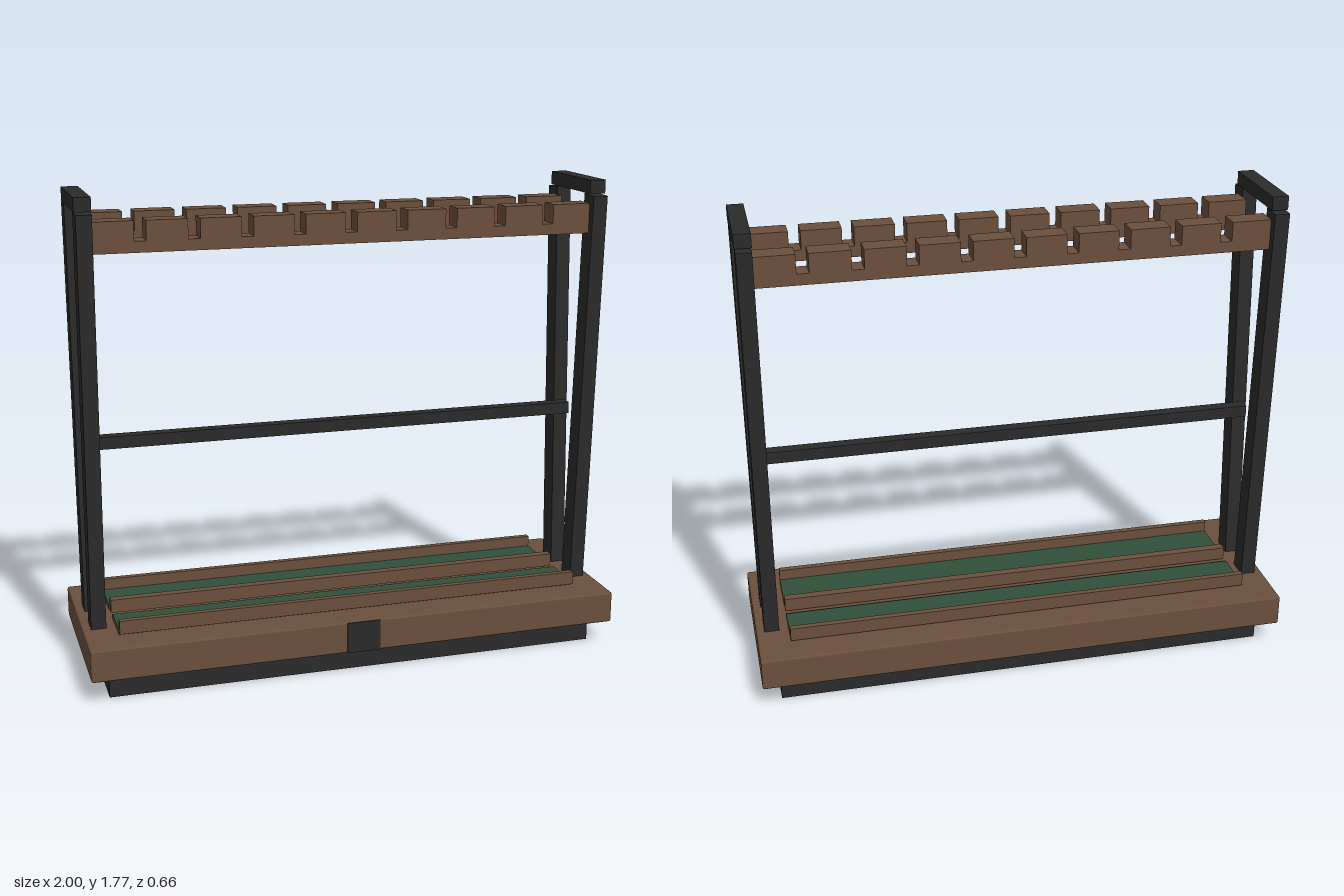
import * as THREE from 'three';
import { RoundedBoxGeometry } from 'three/addons/geometries/RoundedBoxGeometry.js';

export function createModel() {
  const wood = new THREE.MeshStandardMaterial({ name: 'brownWood', color: 0x6b4f3c });
  const metal = new THREE.MeshStandardMaterial({ name: 'darkMetal', color: 0x2b2b2b });
  const felt = new THREE.MeshStandardMaterial({ name: 'greenFelt', color: 0x2f4f3a });

  const model = new THREE.Group();
  model.name = 'standingRack';

  function add(name, geometry, material, x, y, z) {
    const mesh = new THREE.Mesh(geometry, material);
    mesh.name = name;
    mesh.position.set(x, y, z);
    model.add(mesh);
    return mesh;
  }
  // Box given by its centre in x and z and its bottom and top in y
  function box(name, material, width, y0, y1, depth, x = 0, z = 0) {
    return add(name, new THREE.BoxGeometry(width, y1 - y0, depth), material, x, (y0 + y1) / 2, z);
  }

  // Base: recessed plinth, softened wooden slab and blank front plate
  box('plinth', metal, 1.86, 0, 0.092, 0.53);
  add('baseSlab', new RoundedBoxGeometry(2, 0.12, 0.66, 2, 0.008), wood, 0, 0.15, 0);
  box('frontPlate', metal, 0.126, 0.092, 0.208, 0.006, 0, 0.331);

  // Middle ledge and crossbar
  box('middleLedge', wood, 1.76, 0.22, 0.27, 0.033);
  box('crossbar', metal, 1.86, 0.85, 0.895, 0.045);

  // Leaning posts run from (y 0.20, z 0.09) to (y 1.715, z 0.16)
  const rise = 1.51, spread = 0.07;
  const postGeometry = new THREE.BoxGeometry(0.055, Math.hypot(rise, spread), 0.08);
  const teeth = 10, pitch = 0.1875, toothWidth = 0.145;

  for (const side of [1, -1]) {
    const end = side > 0 ? 'front' : 'back';

    // Felt-lined tray with its outer ledge
    box(end + 'Tray', wood, 1.76, 0.205, 0.225, 0.165, 0, side * 0.1225);
    box(end + 'Felt', felt, 1.76, 0.225, 0.229, 0.155, 0, side * 0.1275);
    box(end + 'Ledge', wood, 1.76, 0.22, 0.27, 0.023, 0, side * 0.216);

    // Notched top rail
    box(end + 'Rail', wood, 1.84, 1.575, 1.615, 0.08, 0, side * 0.125);
    for (let i = 0; i < teeth; i++) {
      const x = (i - (teeth - 1) / 2) * pitch;
      box(end + 'RailTooth', wood, toothWidth, 1.615, 1.685, 0.08, x, side * 0.125);
    }

    // Two posts for this face of the rack
    for (const x of [-0.942, 0.942]) {
      const post = add(end + 'Post', postGeometry, metal, x, 0.96, side * 0.125);
      post.rotation.x = side * Math.atan2(spread, rise);
    }

    // Cap joining the posts at one end
    box(side > 0 ? 'leftCap' : 'rightCap', metal, 0.06, 1.72, 1.77, 0.345, side * 0.942);
  }
  return model;
}
